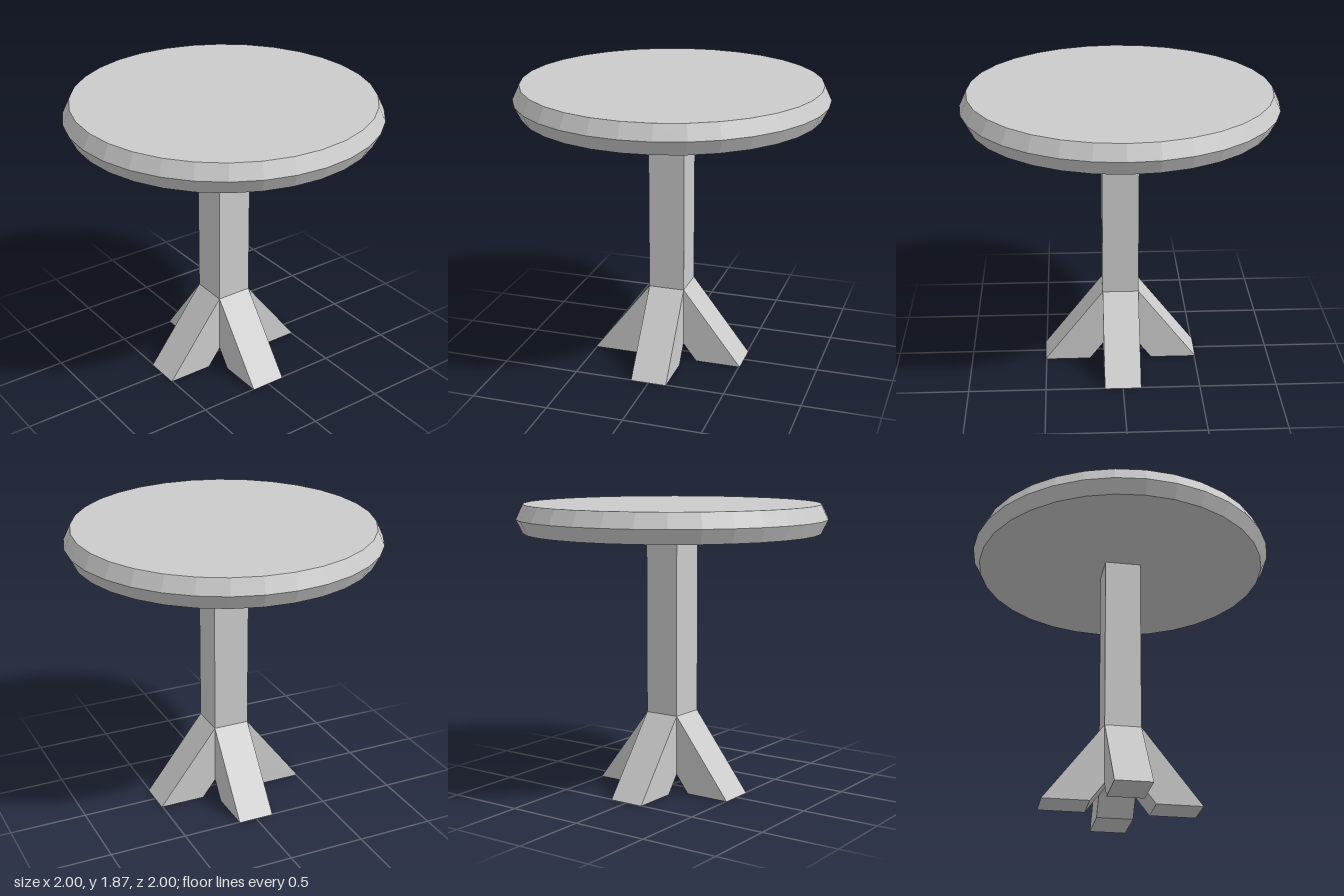
import * as THREE from 'three';

const WIDTH = 0.236; // thickness of the column and of each leg
const LEG_TOP = 0.505;
const TOP_BASE = 1.685;

export function createModel() {
  const model = new THREE.Group();
  const material = new THREE.MeshStandardMaterial({ color: 0xcccccc, flatShading: true });

  const add = (name, geometry) => {
    const mesh = new THREE.Mesh(geometry, material);
    mesh.name = name;
    model.add(mesh);
    return mesh;
  };

  // Round tabletop with a pointed, bevelled rim
  const rim = [[0, TOP_BASE], [0.955, TOP_BASE], [1, 1.775], [0.955, 1.87], [0, 1.87]];
  add('tabletop', new THREE.LatheGeometry(rim.map(([r, y]) => new THREE.Vector2(r, y)), 32));

  // Square column
  const height = TOP_BASE - LEG_TOP;
  add('column', new THREE.BoxGeometry(WIDTH, height, WIDTH)).position.y = LEG_TOP + height / 2;

  // Four slanted legs, their undersides meeting on the axis
  const profile = new THREE.Shape(
    [[0, 0.27], [0.207, 0], [0.507, 0], [WIDTH / 2, LEG_TOP], [0, LEG_TOP]]
      .map(([r, y]) => new THREE.Vector2(r, y)));
  const legGeometry = new THREE.ExtrudeGeometry(profile, { depth: WIDTH, bevelEnabled: false });
  legGeometry.translate(0, 0, -WIDTH / 2);
  ['leftLeg', 'backLeg', 'rightLeg', 'frontLeg'].forEach((name, i) => {
    add(name, legGeometry).rotation.y = i * Math.PI / 2;
  });

  return model;
}
